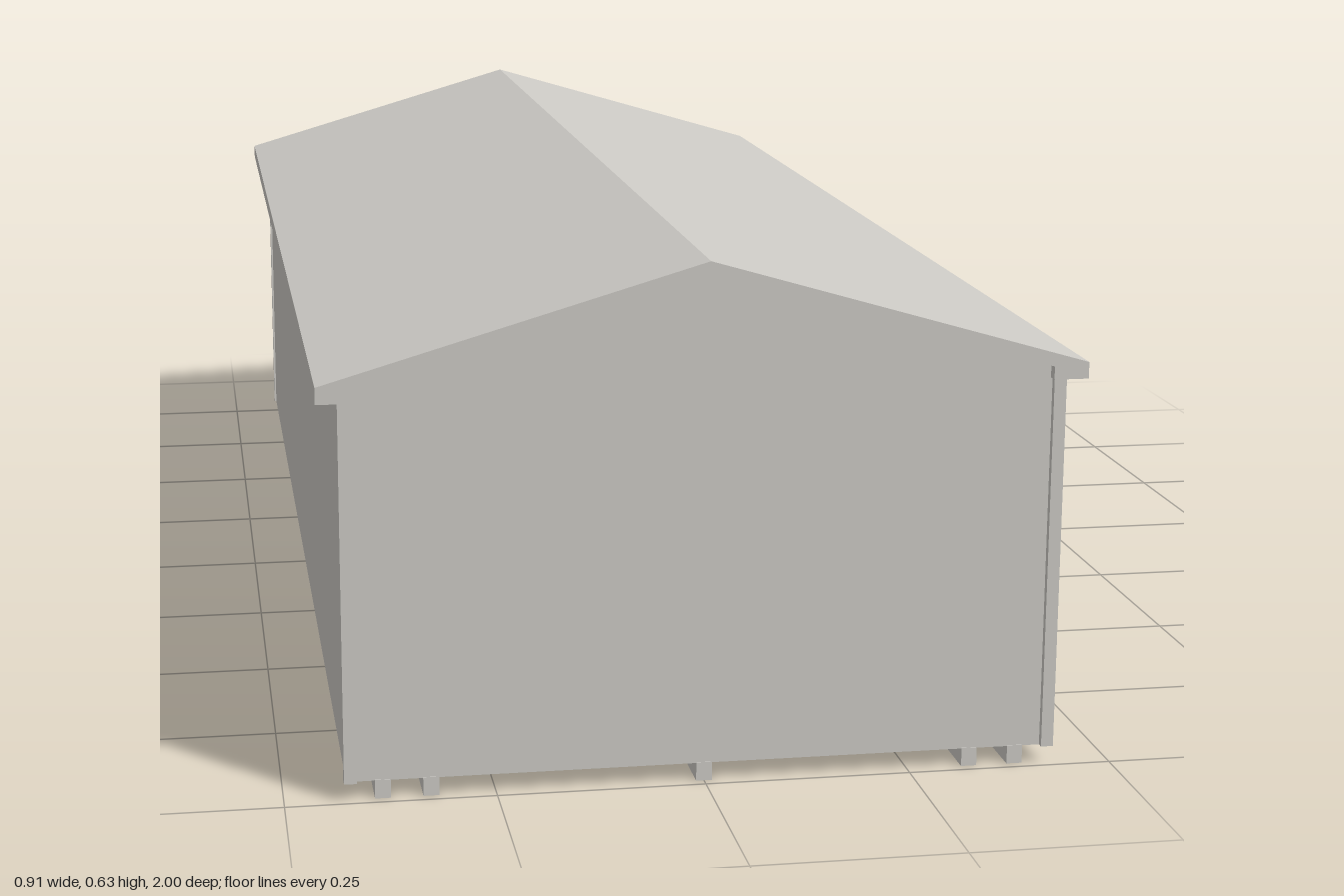
import * as THREE from 'three';

export function createModel() {
  const group = new THREE.Group();
  group.name = 'shed';
  const siding = new THREE.MeshStandardMaterial({ color: 0xcccac5 });
  siding.name = 'paleGrey';

  const add = (name, geometry, x = 0, y = 0, z = 0) => {
    const mesh = new THREE.Mesh(geometry, siding);
    mesh.name = name;
    mesh.position.set(x, y, z);
    group.add(mesh);
  };
  const box = (name, w, h, d, x, y, z) => add(name, new THREE.BoxGeometry(w, h, d), x, y, z);
  // Extrudes an outline in x and y along z, centred on z
  const prism = (name, points, depth, z = 0) => {
    const shape = new THREE.Shape(points.map(([x, y]) => new THREE.Vector2(x, y)));
    const geometry = new THREE.ExtrudeGeometry(shape, { depth, bevelEnabled: false });
    add(name, geometry, 0, 0, z - depth / 2);
  };

  const floorY = 0.022, eaveY = 0.48;

  // Gabled roof with boxed eaves
  prism('roof', [
    [-0.455, eaveY], [-0.413, eaveY], [-0.413, 0.496], [0, 0.615],
    [0.413, 0.496], [0.413, eaveY], [0.455, eaveY], [0.455, 0.5],
    [0, 0.633], [-0.455, 0.5],
  ], 2);

  // Gable end walls, open underneath between them
  for (const s of [-1, 1]) {
    prism(s > 0 ? 'frontWall' : 'backWall', [
      [-0.418, floorY], [0.418, floorY], [0.418, 0.494], [0, 0.614], [-0.418, 0.494],
    ], 0.012, s * 0.981);
  }

  // Side walls and corner posts
  for (const s of [-1, 1]) {
    const side = s > 0 ? 'left' : 'right';
    box(side + 'Wall', 0.012, eaveY - floorY + 0.005, 1.964, s * 0.421, (eaveY + floorY + 0.005) / 2, 0);
    for (const e of [-1, 1]) {
      box(side + (e > 0 ? 'Front' : 'Back') + 'Post', 0.015, eaveY - floorY + 0.005, 0.016,
        s * 0.4225, (eaveY + floorY + 0.005) / 2, e * 0.987);
    }
  }

  // Ground runners
  for (const x of [-0.384, -0.327, 0, 0.327, 0.384]) {
    box('runner', 0.019, 0.023, 1.976, x, 0.0115, 0);
  }

  return group;
}
